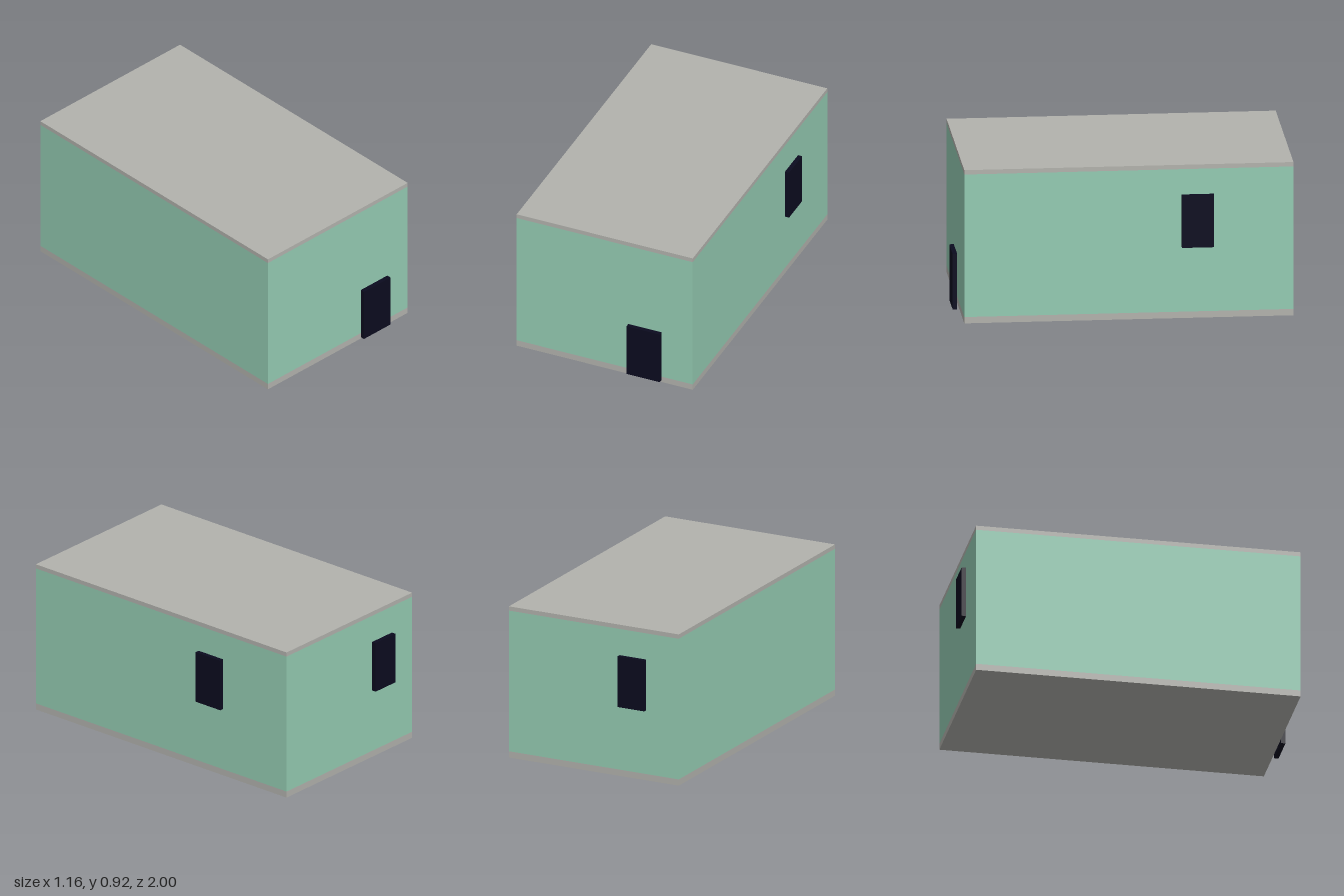
import * as THREE from 'three';

const material = (name, color) => {
  const m = new THREE.MeshStandardMaterial({ color });
  m.name = name;
  return m;
};

export function createModel() {
  const group = new THREE.Group();
  group.name = 'building';
  const wallGreen = material('wallGreen', 0x94cbb2);
  const concreteGrey = material('concreteGrey', 0xb2b2ad);
  const darkNavy = material('darkNavy', 0x0b0b1f);

  // Box given by its min and max corners
  const addBox = (name, mat, min, max) => {
    const size = max.map((v, i) => v - min[i]);
    const mesh = new THREE.Mesh(new THREE.BoxGeometry(...size), mat);
    mesh.position.set(...max.map((v, i) => (v + min[i]) / 2));
    mesh.name = name;
    group.add(mesh);
  };

  // Body: floor slab, walls and flat roof, all flush
  const [x0, x1, z0, z1] = [-0.58, 0.53, -0.954, 0.95];
  const floorTop = 0.038, roofBottom = 0.89, roofTop = 0.916;
  addBox('floorSlab', concreteGrey, [x0, 0, z0], [x1, floorTop, z1]);
  addBox('walls', wallGreen, [x0, floorTop, z0], [x1, roofBottom, z1]);
  addBox('roofSlab', concreteGrey, [x0, roofBottom, z0], [x1, roofTop, z1]);

  // Door and windows, standing slightly clear of the walls
  addBox('frontDoor', darkNavy, [0.135, 0.033, 0.974], [0.345, 0.365, 1]);
  addBox('backWindow', darkNavy, [-0.378, 0.432, -1], [-0.204, 0.739, -0.974]);
  addBox('leftWindow', darkNavy, [0.552, 0.432, -0.491], [0.578, 0.745, -0.305]);

  return group;
}
